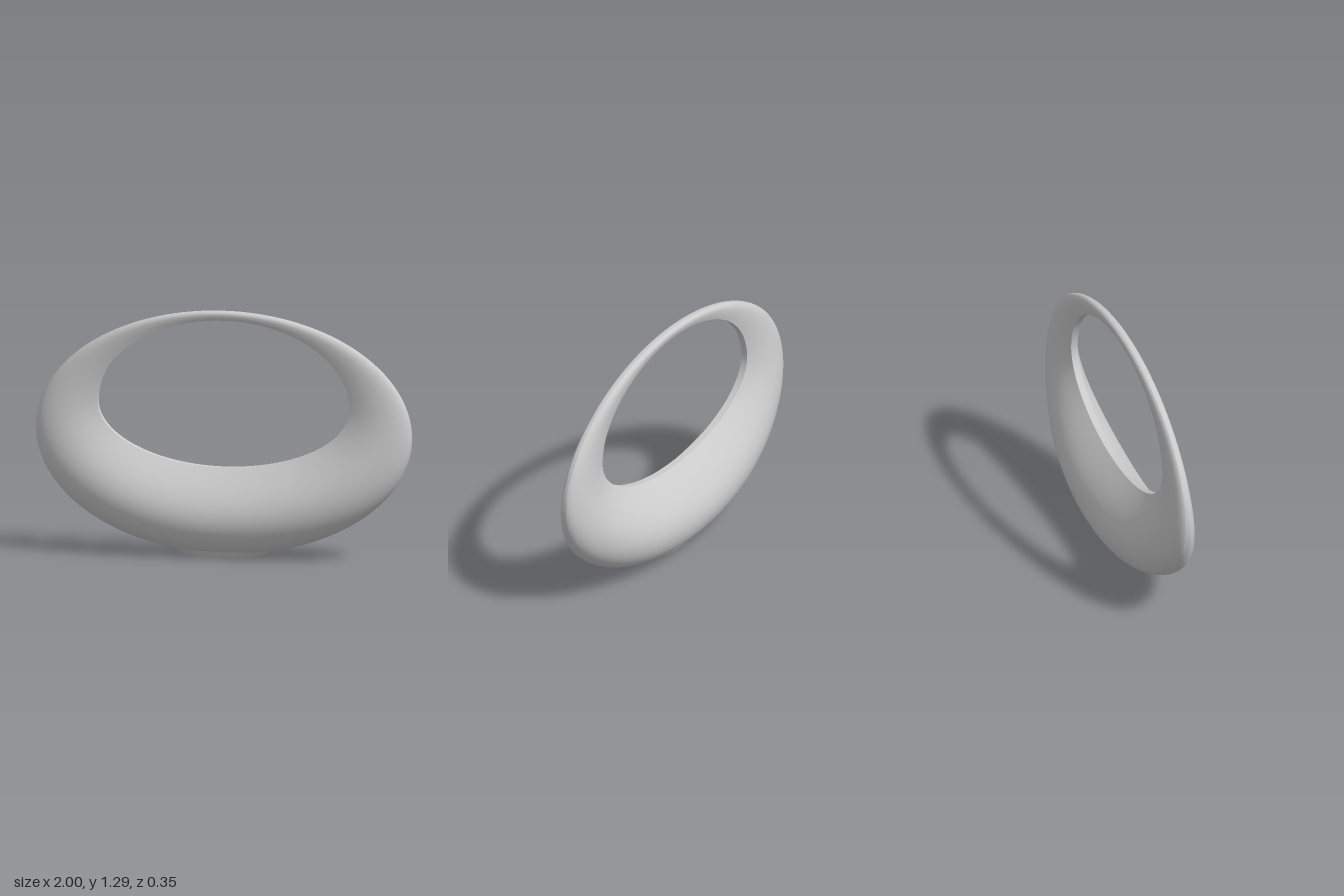
import * as THREE from 'three';
import { toCreasedNormals } from 'three/addons/utils/BufferGeometryUtils.js';

const SEGMENTS = 144;   // steps around the ring
const CREST = 0.4;      // where the section is thickest, from outer (0) to inner (1) edge
const RIM = 0.018;      // half thickness at the hole's edge

const outerEdge = (t) => new THREE.Vector2(Math.cos(t), 0.65 + 0.64 * Math.sin(t));
// Egg-shaped hole, taller above its widest line than below
const innerEdge = (t) => new THREE.Vector2(
  0.67 * Math.cos(t),
  0.795 + (Math.sin(t) > 0 ? 0.445 : 0.33) * Math.sin(t)
);
// The body swells towards the base
const halfThickness = (y) =>
  0.02 + 0.155 * Math.exp(-Math.pow(Math.max(y - 0.19, 0) / 0.43, 1.3));

// Teardrop half section as [position from outer to inner, taper, roundness]
function halfSection() {
  const points = [];
  for (let i = 0; i < 14; i++) {
    const u = 1 - i / 14;
    points.push({ s: CREST + (1 - CREST) * u, swell: Math.cos(u * Math.PI / 2), rim: RIM });
  }
  for (let i = 0; i <= 14; i++) {
    const a = (i / 14) * Math.PI / 2;
    points.push({ s: CREST * (1 - Math.sin(a)), swell: Math.cos(a), rim: RIM * Math.cos(a) });
  }
  return points;
}

function ringGeometry() {
  const half = halfSection();
  const section = [
    ...half.map((p) => ({ ...p, side: 1 })),
    ...half.slice(0, -1).reverse().map((p) => ({ ...p, side: -1 })),
  ];
  const n = section.length;
  const positions = [];
  const indices = [];
  for (let i = 0; i < SEGMENTS; i++) {
    const t = (i / SEGMENTS) * Math.PI * 2;
    const outer = outerEdge(t);
    const inner = innerEdge(t);
    const crest = outer.clone().lerp(inner, CREST);
    const w = halfThickness(crest.y);
    section.forEach(({ s, swell, rim, side }, j) => {
      const p = outer.clone().lerp(inner, s);
      positions.push(p.x, p.y, side * (rim + (w - RIM) * swell));
      const j2 = (j + 1) % n;
      const i2 = (i + 1) % SEGMENTS;
      const a = i * n + j, b = i * n + j2, c = i2 * n + j2, d = i2 * n + j;
      indices.push(a, b, c, a, c, d);
    });
  }
  const geometry = new THREE.BufferGeometry();
  geometry.setAttribute('position', new THREE.Float32BufferAttribute(positions, 3));
  geometry.setIndex(indices);
  return toCreasedNormals(geometry, 0.8);
}

export function createModel() {
  const group = new THREE.Group();
  group.name = 'ringSculpture';
  const material = new THREE.MeshStandardMaterial({ color: 0xcccccc });

  const ring = new THREE.Mesh(ringGeometry(), material);
  ring.name = 'ringBody';
  group.add(ring);

  // Low flat foot blended into the underside
  const foot = new THREE.Mesh(new THREE.CylinderGeometry(0.26, 0.2, 0.035, 48), material);
  foot.name = 'foot';
  foot.scale.z = 0.32;
  foot.position.y = 0.0175;
  group.add(foot);

  return group;
}
